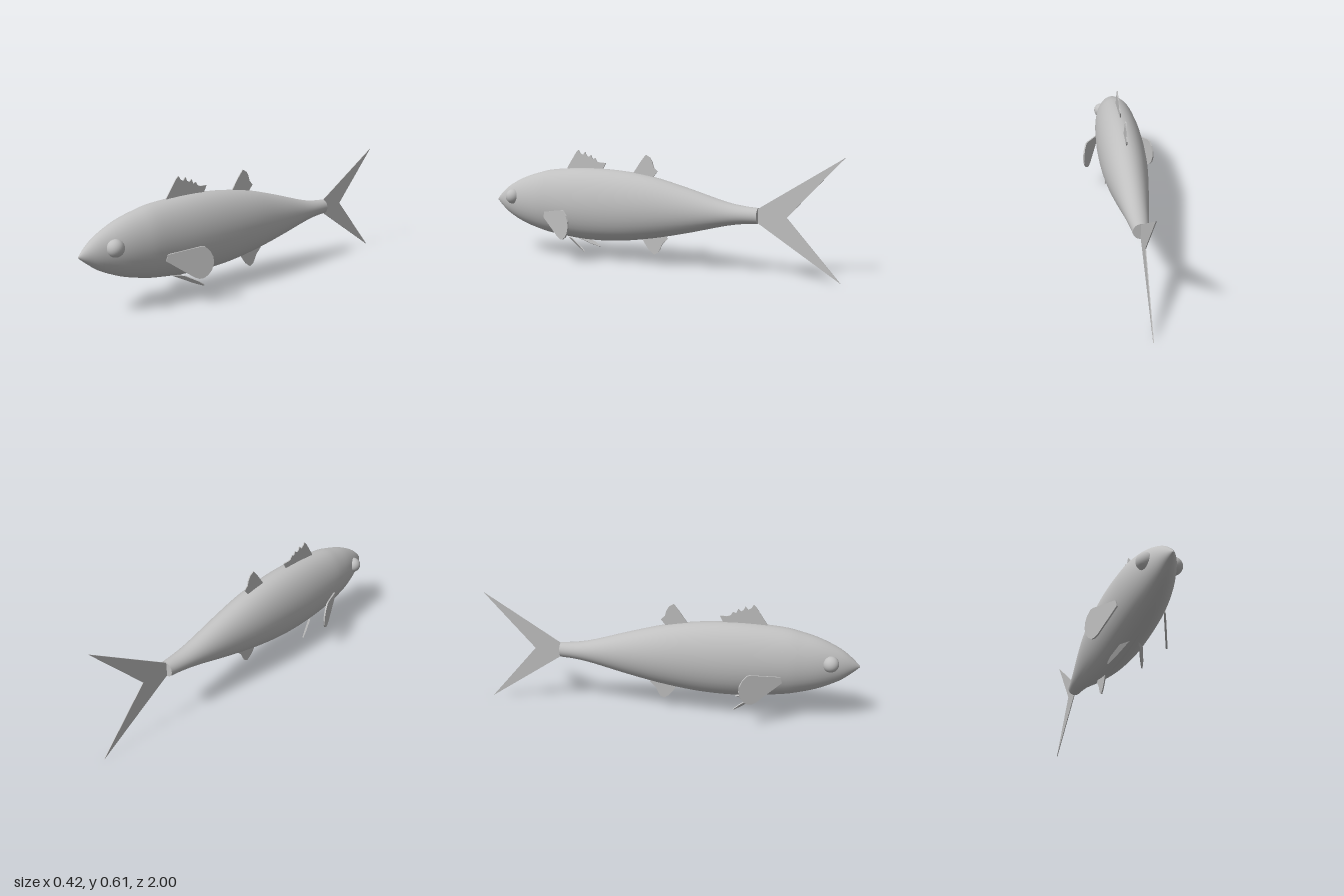
import * as THREE from 'three';
import { mergeVertices } from 'three/addons/utils/BufferGeometryUtils.js';

const grey = new THREE.MeshStandardMaterial({ color: 0xc0c0c0 });
grey.name = 'plain grey';
const V = (x, y, z) => new THREE.Vector3(x, y, z);

// Body stations: z, top y, bottom y, half width
const stations = [
  [1.0, 0.308, 0.302, 0.002], [0.96, 0.348, 0.268, 0.03], [0.9, 0.394, 0.224, 0.058],
  [0.8, 0.443, 0.178, 0.089], [0.7, 0.474, 0.149, 0.109], [0.6, 0.495, 0.13, 0.12],
  [0.4, 0.509, 0.112, 0.129], [0.2, 0.504, 0.117, 0.127], [0, 0.478, 0.145, 0.115],
  [-0.2, 0.428, 0.188, 0.091], [-0.4, 0.371, 0.239, 0.062], [-0.5, 0.352, 0.258, 0.049],
  [-0.585, 0.345, 0.265, 0.039],
];

// Flat fin: 2D outline extruded, then placed by two in-plane axes and an origin
function fin(name, outline, thickness, origin = V(0, 0, 0), u = V(0, 0, 1), v = V(0, 1, 0)) {
  const shape = new THREE.Shape(outline.map(p => new THREE.Vector2(...p)));
  const geo = new THREE.ExtrudeGeometry(shape, { depth: thickness, bevelEnabled: false });
  geo.translate(0, 0, -thickness / 2);
  const n = u.clone().cross(v).normalize();
  geo.applyMatrix4(new THREE.Matrix4().makeBasis(u, v, n).setPosition(origin));
  geo.computeVertexNormals();
  const mesh = new THREE.Mesh(geo, grey);
  mesh.name = name;
  return mesh;
}

// Smooth oval loft from nose to tail root
function body() {
  const heights = new THREE.CatmullRomCurve3(stations.map(s => V(s[0], s[1], s[2])), false, 'catmullrom');
  const widths = new THREE.CatmullRomCurve3(stations.map(s => V(s[0], s[3], 0)), false, 'catmullrom');
  let geo = new THREE.CylinderGeometry(1, 1, 1, 36, 48, true);
  geo.rotateX(Math.PI / 2);
  const pos = geo.attributes.position;
  for (let i = 0; i < pos.count; i++) {
    const t = THREE.MathUtils.clamp(0.5 - pos.getZ(i), 0, 1);
    const h = heights.getPoint(t), w = widths.getPoint(t).y;
    pos.setXYZ(i, pos.getX(i) * w, (h.y + h.z) / 2 + pos.getY(i) * (h.y - h.z) / 2, h.x);
  }
  geo.deleteAttribute('uv');
  geo.deleteAttribute('normal');
  geo = mergeVertices(geo, 1e-5);
  geo.computeVertexNormals();
  const mesh = new THREE.Mesh(geo, grey);
  mesh.name = 'body';
  return mesh;
}

export function createModel() {
  const fish = new THREE.Group();
  fish.name = 'fish';
  fish.add(body());

  // Flat end of the tail root
  const capGeo = new THREE.CircleGeometry(1, 36);
  capGeo.rotateY(Math.PI);
  capGeo.scale(0.039, 0.04, 1);
  capGeo.translate(0, 0.305, -0.585);
  const cap = new THREE.Mesh(capGeo, grey);
  cap.name = 'tailRootCap';
  fish.add(cap);

  // Fins on the centre line, outlined in z, y
  fish.add(fin('tailFin', [
    [-0.57, 0.335], [-0.59, 0.345], [-1, 0.607], [-0.73, 0.305], [-1, 0.002], [-0.59, 0.265], [-0.57, 0.275],
  ], 0.004));
  fish.add(fin('frontDorsalFin', [
    [0.52, 0.49], [0.52, 0.506], [0.462, 0.592], [0.446, 0.607], [0.435, 0.589], [0.418, 0.58],
    [0.405, 0.597], [0.395, 0.577], [0.382, 0.57], [0.368, 0.582], [0.358, 0.559], [0.342, 0.565],
    [0.33, 0.546], [0.312, 0.541], [0.275, 0.541], [0.3, 0.495],
  ], 0.006));
  fish.add(fin('rearDorsalFin', [
    [0.11, 0.47], [0.11, 0.49], [0.062, 0.558], [0.034, 0.592], [0.01, 0.578], [-0.004, 0.555],
    [-0.012, 0.526], [-0.033, 0.506], [0.0, 0.465],
  ], 0.006));
  fish.add(fin('analFin', [
    [0.055, 0.16], [0.055, 0.138], [0.03, 0.1], [0.012, 0.078], [-0.016, 0.058], [-0.038, 0.07],
    [-0.052, 0.095], [-0.062, 0.118], [-0.094, 0.15], [-0.07, 0.175],
  ], 0.006));

  // Paired parts
  for (const [side, s] of [['left', 1], ['right', -1]]) {
    const eye = new THREE.Mesh(new THREE.SphereGeometry(0.042, 28, 18), grey);
    eye.name = side + 'Eye';
    eye.position.set(s * 0.065, 0.334, 0.847);
    fish.add(eye);

    // Swept side fin, outline in z, y
    fish.add(fin(side + 'PectoralFin', [
      [0.608, 0.236], [0.6, 0.268], [0.45, 0.294], [0.435, 0.292], [0.412, 0.268], [0.398, 0.238], [0.396, 0.205],
      [0.406, 0.172], [0.422, 0.15], [0.442, 0.136], [0.462, 0.134], [0.485, 0.144],
    ], 0.008, V(s * 0.375, 0, 0), V(s * -0.43, 0, 1)));

    // Small belly fin, splayed down and back
    fish.add(fin(side + 'PelvicFin', [
      [-0.05, 0], [0.7, -0.1], [0.92, -0.04], [1.02, 0.02], [1.03, 0.12], [0.9, 0.35], [0.65, 0.65], [0.05, 0.9],
    ], 0.005, V(s * 0.025, 0.117, 0.5), V(s * 0.056, -0.06, -0.128), V(s * 0.03, 0.006, -0.035)));
  }
  return fish;
}
